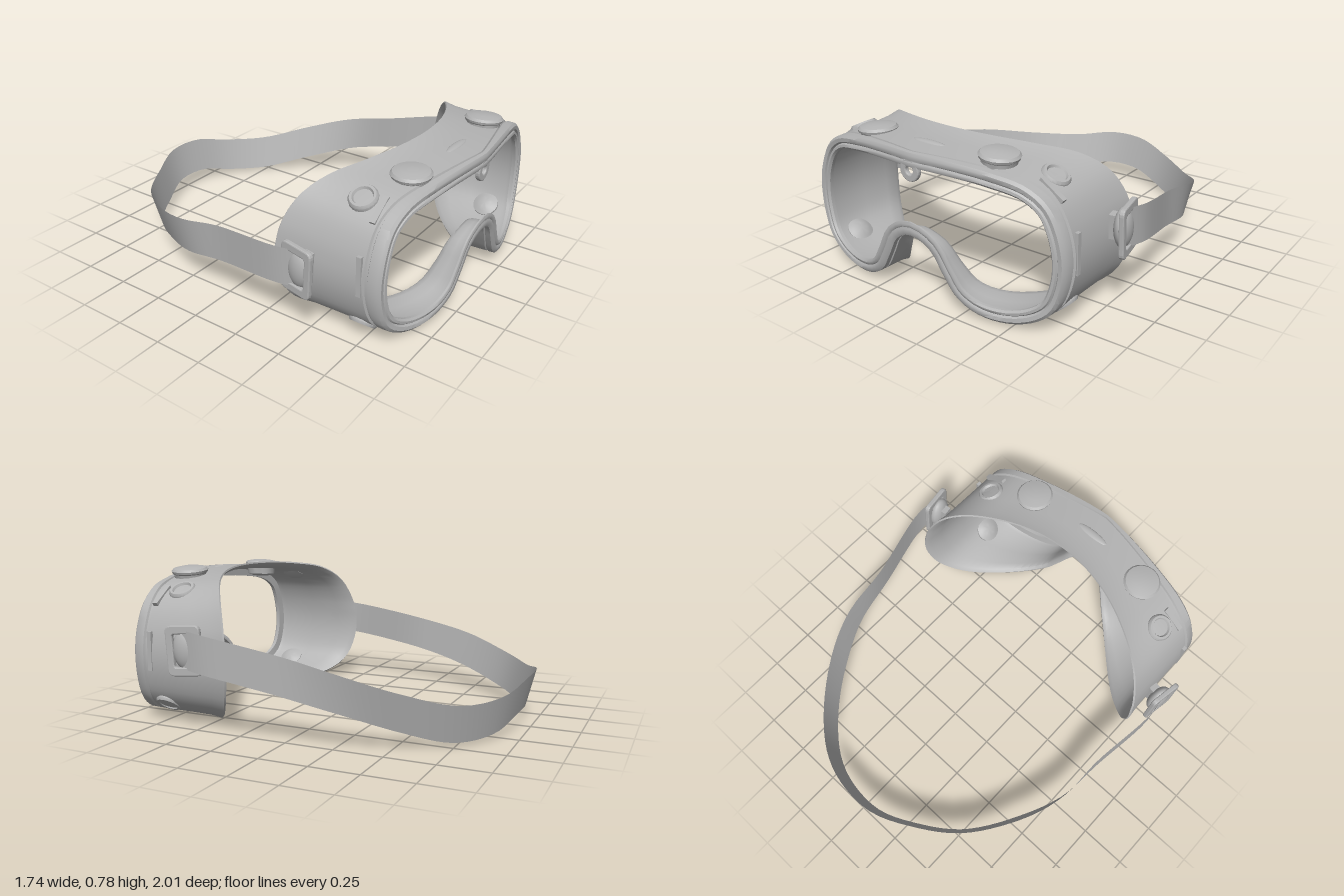
import * as THREE from 'three';
import { toCreasedNormals } from 'three/addons/utils/BufferGeometryUtils.js';

const rubber = new THREE.MeshStandardMaterial({ color: 0xb4b4b4, side: THREE.DoubleSide });
rubber.name = 'grey rubber';

function add(parent, name, geometry, x = 0, y = 0, z = 0) {
  const mesh = new THREE.Mesh(geometry, rubber);
  mesh.name = name;
  mesh.position.set(x, y, z);
  parent.add(mesh);
  return mesh;
}

// Quad grid from rows of points; optionally closed along both directions
function gridGeometry(rows, closed) {
  const n = rows.length, m = rows[0].length, index = [];
  for (let i = 0; i < (closed ? n : n - 1); i++) {
    for (let j = 0; j < (closed ? m : m - 1); j++) {
      const i2 = (i + 1) % n, j2 = (j + 1) % m;
      const a = i * m + j, b = i2 * m + j, c = i2 * m + j2, d = i * m + j2;
      index.push(a, b, c, a, c, d);
    }
  }
  const geo = new THREE.BufferGeometry();
  geo.setAttribute('position', new THREE.Float32BufferAttribute(rows.flat(2), 3));
  geo.setIndex(index);
  geo.computeVertexNormals();
  return geo;
}

const { smoothstep } = THREE.MathUtils;
const frontZ = (x, y) =>
  0.997 - 0.13 * Math.pow(Math.abs(x) / 0.765, 1.3) - 0.02 * smoothstep(y, 0.4, 0.75);
function backZ(x, y) {
  const nose = y < 0.45 ? smoothstep(0.65 - Math.abs(x), 0, 0.65) : 0;
  return 0.65 - 0.34 * (x / 0.77) ** 2 + 0.24 * nose;
}

// Goggle body: wall section swept round the face outline
function bodyGeometry() {
  const half = [[0, 0.74], [0.2, 0.735], [0.4, 0.717], [0.57, 0.682], [0.675, 0.61], [0.735, 0.5],
    [0.762, 0.37], [0.752, 0.24], [0.705, 0.12], [0.615, 0.05], [0.48, 0.013], [0.34, 0.025],
    [0.235, 0.085], [0.165, 0.19], [0.1, 0.295], [0, 0.34]];
  const mirrored = half.slice(1, -1).reverse().map(([x, y]) => [-x, y]);
  const curve = new THREE.CatmullRomCurve3(
    [...half, ...mirrored].map(([x, y]) => new THREE.Vector3(x, y, 0)), true);
  // [outward offset, fraction of depth, extra z]
  const section = [[-0.07, 0, -0.025], [-0.07, 0, -0.005], [-0.06, 0, 0.005], [-0.048, 0, 0.002],
    [-0.042, 0, -0.008], [-0.034, 0, 0.002], [-0.015, 0, 0.003], [-0.002, 0, -0.012],
    [0, 0, -0.06], [-0.01, 0, -0.066], [-0.01, 0, -0.078], [0, 0, -0.084],
    [0.002, 0.6, 0], [0.004, 0.85, 0], [0.011, 0.98, 0], [0.012, 1, 0], [0.004, 1, -0.006],
    [-0.012, 0.95, 0], [-0.02, 0.8, 0], [-0.024, 0.5, 0], [-0.024, 0, -0.06], [-0.03, 0, -0.035]];
  const rows = [], count = 112;
  for (let i = 0; i < count; i++) {
    const p = curve.getPointAt(i / count), t = curve.getTangentAt(i / count);
    const front = frontZ(p.x, p.y), depth = front - backZ(p.x, p.y);
    // The rim thins towards the middle and the top flares towards the back
    const rim = 0.35 + 0.65 * Math.abs(p.x) / 0.765;
    const flare = p.y > 0.45 ? 0.016 * Math.max(t.x, 0) : 0;
    rows.push(section.map(([o, u, dz]) => {
      const out = o + flare * u * u;
      return [p.x - t.y * out, p.y + t.x * out, front - u * depth + dz * rim];
    }));
  }
  return toCreasedNormals(gridGeometry(rows, true), 0.7);
}

// Turned fitting whose axis points along a given direction
function turned(parent, name, profile, position, axis) {
  const geo = new THREE.LatheGeometry(profile.map(p => new THREE.Vector2(...p)), 20);
  const mesh = add(parent, name, toCreasedNormals(geo, 0.6), ...position);
  mesh.quaternion.setFromUnitVectors(new THREE.Vector3(0, 1, 0), new THREE.Vector3(...axis).normalize());
}

function roundedRect(path, w, h, r) {
  const x = w / 2, y = h / 2;
  path.moveTo(-x + r, -y);
  path.lineTo(x - r, -y).quadraticCurveTo(x, -y, x, -y + r);
  path.lineTo(x, y - r).quadraticCurveTo(x, y, x - r, y);
  path.lineTo(-x + r, y).quadraticCurveTo(-x, y, -x, y - r);
  path.lineTo(-x, -y + r).quadraticCurveTo(-x, -y, -x + r, -y);
  return path;
}

// Strap: thin band following a level-changing loop round the head
function strapGeometry() {
  const curve = new THREE.CatmullRomCurve3([
    [0.845, 0.425, 0.5], [0.862, 0.41, 0.38], [0.795, 0.33, 0], [0.76, 0.265, -0.28],
    [0.65, 0.18, -0.54], [0.49, 0.112, -0.76], [0.3, 0.125, -0.91], [0.1, 0.18, -0.975],
    [-0.1, 0.185, -0.975], [-0.3, 0.155, -0.885], [-0.52, 0.165, -0.73], [-0.71, 0.225, -0.46],
    [-0.795, 0.265, -0.24], [-0.815, 0.31, 0], [-0.862, 0.355, 0.38], [-0.845, 0.36, 0.5],
  ].map(p => new THREE.Vector3(...p)));
  const rows = [];
  for (let i = 0; i <= 72; i++) {
    const p = curve.getPointAt(i / 72), t = curve.getTangentAt(i / 72);
    const flat = Math.hypot(t.x, t.z);
    const lean = 0.024 * smoothstep(-p.z, 0, 0.5);
    const dx = -t.z / flat * lean, dz = t.x / flat * lean;
    rows.push([1, -1].map(s => [p.x + s * dx, p.y + s * 0.095, p.z + s * dz]));
  }
  return gridGeometry(rows, false);
}

// Buckle: open frame with a padded pivot, facing outward
function buckle(side, y) {
  const group = new THREE.Group();
  group.name = side > 0 ? 'leftBuckle' : 'rightBuckle';
  const shape = roundedRect(new THREE.Shape(), 0.17, 0.235, 0.025);
  shape.holes.push(roundedRect(new THREE.Path(), 0.12, 0.175, 0.02));
  const frame = new THREE.ExtrudeGeometry(shape, {
    depth: 0.014, bevelEnabled: true, bevelSize: 0.006, bevelThickness: 0.006, bevelSegments: 2, curveSegments: 4 });
  add(group, 'buckleFrame', frame, 0, 0, 0.012);
  const pad = add(group, 'bucklePad', new THREE.SphereGeometry(1, 20, 14), 0, 0, -0.003);
  pad.scale.set(0.07, 0.1, 0.042);
  add(group, 'buckleMount', new THREE.BoxGeometry(0.05, 0.12, 0.04), 0, 0, -0.045);
  add(group, 'buckleBar', new THREE.CylinderGeometry(0.012, 0.012, 0.19, 10), side * 0.055, 0, 0.02);
  group.position.set(side * 0.826 - 0.004, y, 0.495);
  group.rotation.set(0, side * (Math.PI / 2 + 0.16), 0);
  group.rotateZ(side * 0.06);
  return group;
}

export function createModel() {
  const model = new THREE.Group();
  model.name = 'safetyGoggles';
  add(model, 'goggleBody', bodyGeometry(), -0.006);
  add(model, 'headStrap', strapGeometry());
  model.add(buckle(1, 0.42), buckle(-1, 0.36));

  // Vents, each with a shallow dome showing inside
  const capProfile = [[0, -0.05], [0.05, -0.047], [0.08, -0.035], [0.086, 0.012], [0.094, 0.018],
    [0.098, 0.03], [0.088, 0.042], [0.05, 0.05], [0, 0.052]];
  const ringProfile = [[0, -0.04], [0.03, -0.038], [0.05, -0.03], [0.07, -0.02], [0.07, 0.01],
    [0.062, 0.022], [0.05, 0.022], [0.044, 0.01], [0, 0.012]];
  for (const s of [1, -1]) {
    const lift = s * 0.01, shift = -0.015;
    turned(model, 'topVentCap', capProfile, [s * 0.372 + shift, 0.715 + lift, 0.79], [s * 0.07 + 0.02, 1, 0]);
    turned(model, 'upperRingVent', ringProfile, [s * 0.593 + shift, 0.668, 0.68], [s * 0.45, 0.9, 0]);
    turned(model, 'lowerRingVent', ringProfile, [s * 0.658, 0.092 + lift, 0.73], [s * 0.62, -0.78, 0]);

    // Raised ribs beside the rim
    add(model, 'sideRib', new THREE.BoxGeometry(0.018, 0.2, 0.024), s * 0.758 - 0.006, 0.38, 0.765);
    const rib = add(model, 'cornerRib', new THREE.BoxGeometry(0.14, 0.02, 0.028), s * 0.628, 0.647, 0.775);
    rib.rotation.z = -s * 0.6;
  }

  // Small raised pad in the middle of the top
  const pad = add(model, 'topPad', new THREE.SphereGeometry(1, 16, 10), -0.02, 0.741, 0.825);
  pad.scale.set(0.1, 0.012, 0.024);

  // Eyelet hanging from the top of the rim
  const eyelet = new THREE.Shape().absarc(0, 0, 0.05, 0, Math.PI * 2);
  eyelet.holes.push(new THREE.Path().absarc(0, 0, 0.028, 0, Math.PI * 2, true));
  add(model, 'rimEyelet', new THREE.ExtrudeGeometry(eyelet, {
    depth: 0.012, bevelEnabled: true, bevelSize: 0.006, bevelThickness: 0.006, bevelSegments: 2, curveSegments: 12,
  }), -0.012, 0.654, 0.957);
  return model;
}
